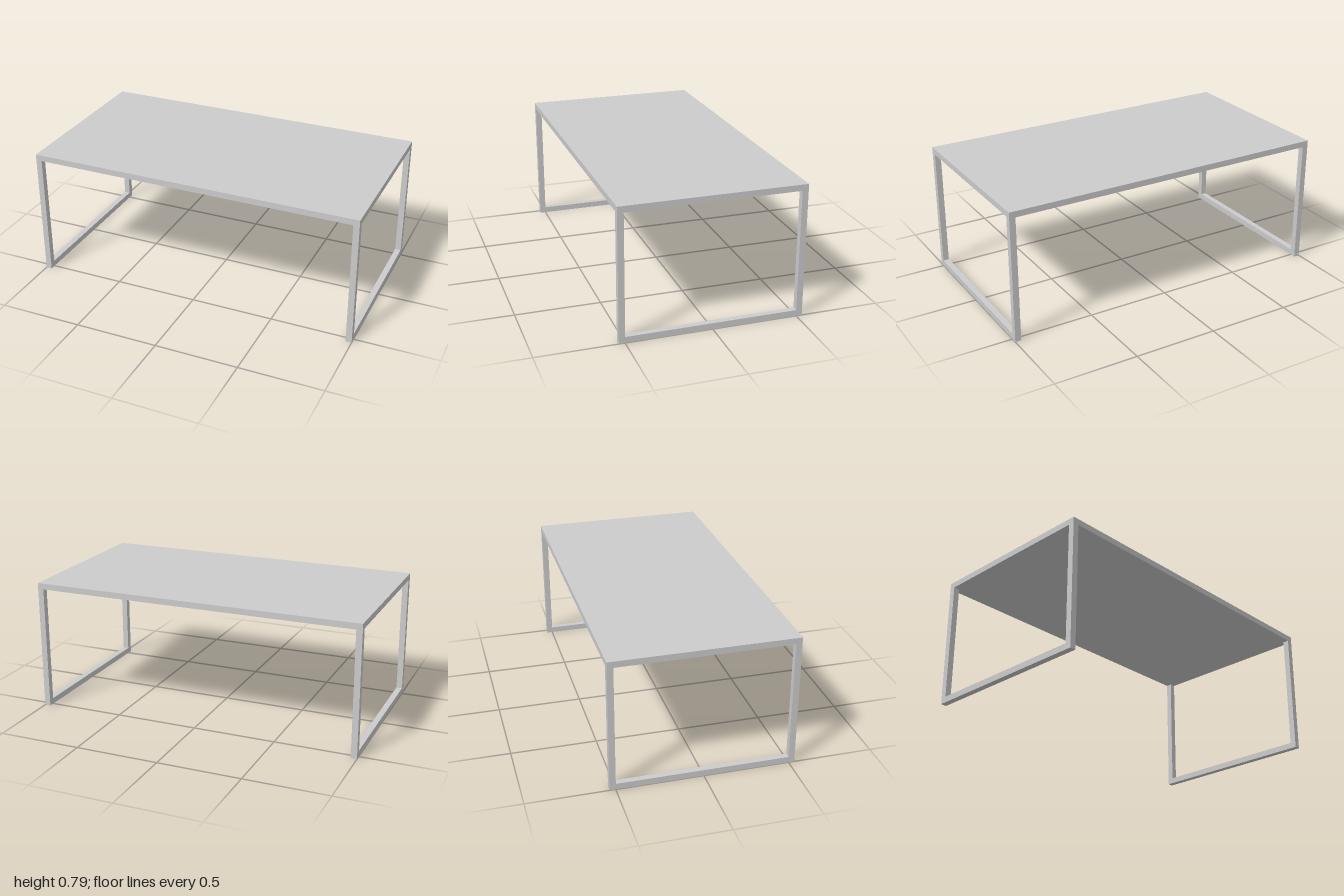
import * as THREE from 'three';

const LENGTH = 2, DEPTH = 1.07, HEIGHT = 0.786, BAR = 0.036;

export function createModel() {
  const table = new THREE.Group();
  table.name = 'table';
  const material = new THREE.MeshStandardMaterial({ color: 0xcccccc, flatShading: true });

  function addBox(parent, name, size, position) {
    const mesh = new THREE.Mesh(new THREE.BoxGeometry(...size), material);
    mesh.name = name;
    mesh.position.set(...position);
    parent.add(mesh);
  }

  // Flat top, flush with the outside of the legs
  addBox(table, 'tabletop', [LENGTH, BAR, DEPTH], [0, HEIGHT - BAR / 2, 0]);

  // A square-bar loop at each end: two uprights joined by a floor runner
  const legHeight = HEIGHT - 2 * BAR;
  for (const [side, sx] of [['left', 1], ['right', -1]]) {
    const frame = new THREE.Group();
    frame.name = side + 'LegFrame';
    frame.position.x = sx * (LENGTH - BAR) / 2;
    addBox(frame, 'floorRunner', [BAR, BAR, DEPTH], [0, BAR / 2, 0]);
    for (const [end, sz] of [['front', 1], ['back', -1]]) {
      addBox(frame, end + 'Leg', [BAR, legHeight, BAR],
        [0, BAR + legHeight / 2, sz * (DEPTH - BAR) / 2]);
    }
    table.add(frame);
  }
  return table;
}
